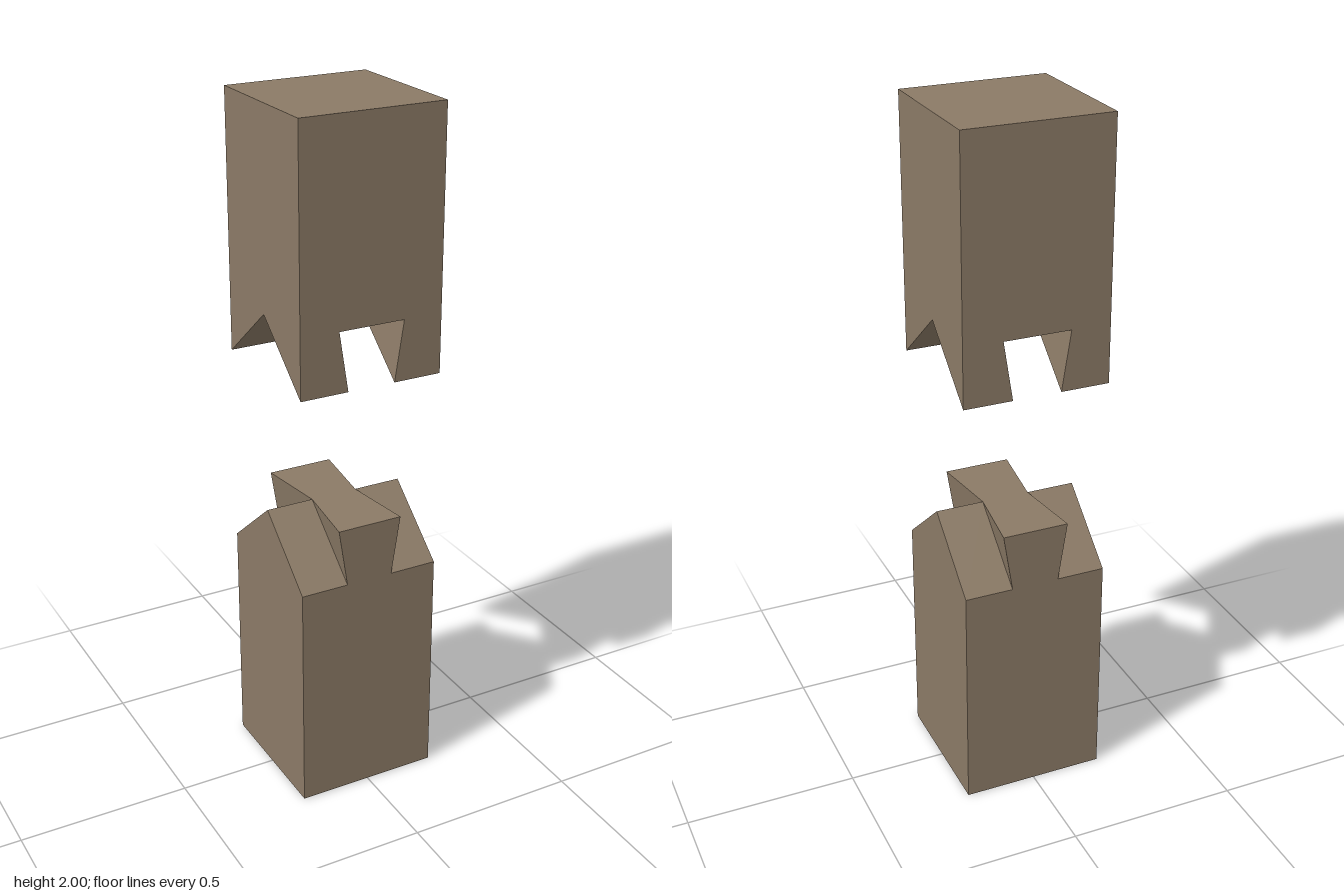
import * as THREE from 'three';

const W = 0.211; // half width of the square posts
const N = 0.07;  // half width of the dovetail neck
const D = 0.097; // half width of the flared dovetail ends

// One post of the sliding dovetail joint, built from a quarter mirrored in x and z.
// base: height of the plain end, eave / ridge: low and high heights of the joint
function postGeometry(base, eave, ridge) {
  const upper = base > ridge;
  const front = [
    [N, eave, W], [D, ridge, W], [0, ridge, W],
    [0, base, W], [W, base, W], [W, eave, W],
  ];
  // the socket outline is fanned from its flared corner, the tenon from its neck
  if (upper) front.push(front.shift());

  const quarter = [
    front,
    [[W, base, W], [W, base, 0], [W, ridge, 0], [W, eave, W]],   // side
    [[0, base, 0], [W, base, 0], [W, base, W], [0, base, W]],    // plain end
    [[W, eave, W], [W, ridge, 0], [N, ridge, 0], [N, eave, W]],  // sloping shoulder
    [[N, eave, W], [N, ridge, 0], [D, ridge, W]],                // dovetail cheek
    [[0, ridge, 0], [0, ridge, W], [D, ridge, W], [N, ridge, 0]], // dovetail flat
  ];

  const positions = [];
  for (const sx of [1, -1]) {
    for (const sz of [1, -1]) {
      const flip = (sx * sz < 0) !== upper;
      for (const face of quarter) {
        for (let i = 1; i < face.length - 1; i++) {
          const tri = flip ? [0, i + 1, i] : [0, i, i + 1];
          for (const k of tri) {
            const [x, y, z] = face[k];
            positions.push(x * sx, y, z * sz);
          }
        }
      }
    }
  }
  const geometry = new THREE.BufferGeometry();
  geometry.setAttribute('position', new THREE.Float32BufferAttribute(positions, 3));
  geometry.computeVertexNormals();
  return geometry;
}

export function createModel() {
  const wood = new THREE.MeshStandardMaterial({ color: 0x8b7a66 });
  wood.name = 'brown wood';

  const model = new THREE.Group();
  model.name = 'dovetailJoint';

  const lower = new THREE.Mesh(postGeometry(0, 0.68, 0.853), wood);
  lower.name = 'lowerPostWithTenon';

  const upper = new THREE.Mesh(postGeometry(2, 1.262, 1.435), wood);
  upper.name = 'upperPostWithSocket';

  model.add(lower, upper);
  return model;
}
